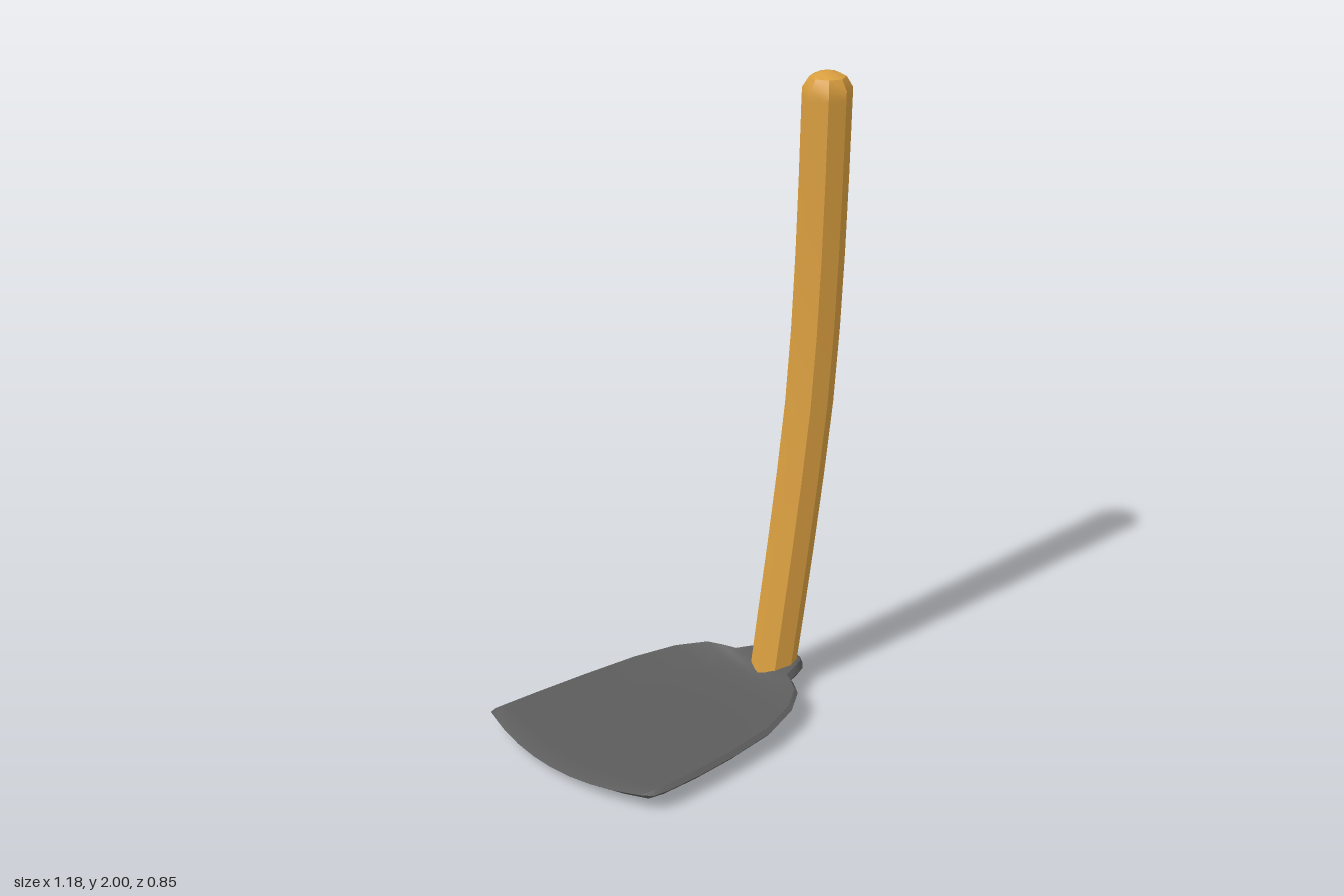
import * as THREE from 'three';
import { toCreasedNormals } from 'three/addons/utils/BufferGeometryUtils.js';

// Skin a list of closed rings (arrays of [x, y, z]) into one surface
function loft(rings, crease) {
  const n = rings[0].length, index = [];
  for (let i = 0; i < rings.length - 1; i++) {
    for (let j = 0; j < n; j++) {
      const k = (j + 1) % n;
      const a = i * n + j, b = (i + 1) * n + j, c = (i + 1) * n + k, d = i * n + k;
      index.push(a, b, c, a, c, d);
    }
  }
  const geo = new THREE.BufferGeometry();
  geo.setAttribute('position', new THREE.Float32BufferAttribute(rings.flat(2), 3));
  geo.setIndex(index);
  return toCreasedNormals(geo, crease);
}

// Octagonal handle following a gentle bend, with a domed top
function handleGeometry() {
  const path = new THREE.CatmullRomCurve3([
    [0.34, 0, -0.245], [0.425, 0.6, -0.285], [0.473, 1, -0.31],
    [0.5, 1.45, -0.328], [0.513, 2, -0.335],
  ].map((p) => new THREE.Vector3(...p)));
  // [position along the path, radius]
  const sections = [[0, 0], [0, 0.058], [0.01, 0.073]];
  for (let i = 1; i <= 8; i++) sections.push([i * 0.12, 0.074 + i * 0.0003]);
  sections.push([0.976, 0.076], [0.992, 0.056], [0.998, 0.03], [1, 0]);
  const rings = sections.map(([t, r]) => {
    const c = path.getPointAt(t);
    return Array.from({ length: 8 }, (_, j) => {
      const a = (14 + 45 * j) * Math.PI / 180;
      return [c.x + r * Math.cos(a), c.y, c.z + r * Math.sin(a)];
    });
  });
  return loft(rings, 0.55);
}

// Dished blade narrowing through the shoulders into the eye around the handle
function bladeGeometry() {
  // [back x, back z, front x, front z, bow, middle y, side y, half thickness]
  const stations = [
    [-0.592, -0.18, -0.245, 0.408, 0.055, 0.03, 0.058, 0],
    [-0.575, -0.198, -0.21, 0.421, 0.052, 0.028, 0.058, 0.011],
    [-0.54, -0.215, -0.16, 0.403, 0.05, 0.027, 0.058, 0.013],
    [-0.42, -0.27, -0.05, 0.345, 0.04, 0.025, 0.059, 0.014],
    [-0.26, -0.34, 0.08, 0.265, 0.025, 0.025, 0.06, 0.014],
    [-0.08, -0.405, 0.22, 0.17, 0.01, 0.026, 0.066, 0.014],
    [0.06, -0.425, 0.315, 0.075, 0, 0.03, 0.078, 0.014],
    [0.16, -0.41, 0.36, -0.01, 0, 0.038, 0.087, 0.014],
    [0.2, -0.385, 0.367, -0.08, 0, 0.048, 0.083, 0.015],
    [0.24, -0.355, 0.366, -0.115, 0, 0.058, 0.076, 0.017],
    [0.33, -0.36, 0.41, -0.165, 0, 0.066, 0.07, 0.02],
    [0.39, -0.352, 0.435, -0.205, 0, 0.062, 0.062, 0.02],
    [0.425, -0.325, 0.447, -0.245, 0, 0.056, 0.056, 0.016],
    [0.446, -0.295, 0.451, -0.27, 0, 0.054, 0.054, 0],
  ];
  const count = 9;
  const rings = stations.map(([bx, bz, fx, fz, bow, midY, sideY, half]) => {
    const halfWidth = Math.hypot(fx - bx, fz - bz) / 2;
    // t runs from -1 at the back side to 1 at the front side
    const point = (t, dy) => {
      const s = (t + 1) / 2, b = bow * (1 - t * t);
      return [
        bx + (fx - bx) * s - 0.85 * b,
        midY + (sideY - midY) * t * t + dy,
        bz + (fz - bz) * s + 0.53 * b,
      ];
    };
    const inset = 1 - Math.min(0.016 / halfWidth, 0.5);
    const ts = Array.from({ length: count }, (_, i) => inset * (1 - 2 * i / (count - 1)));
    return [
      point(1, 0), ...ts.map((t) => point(t, half)),
      point(-1, 0), ...ts.map((t) => point(-t, -half)),
    ];
  });
  return loft(rings, 0.6);
}

export function createModel() {
  const group = new THREE.Group();
  group.name = 'hoe';
  const add = (name, geometry, color) => {
    const mesh = new THREE.Mesh(geometry, new THREE.MeshStandardMaterial({ color }));
    mesh.name = name;
    group.add(mesh);
  };
  add('handle', handleGeometry(), 0xd99e3f);
  add('blade', bladeGeometry(), 0x5c5c5c);
  return group;
}
